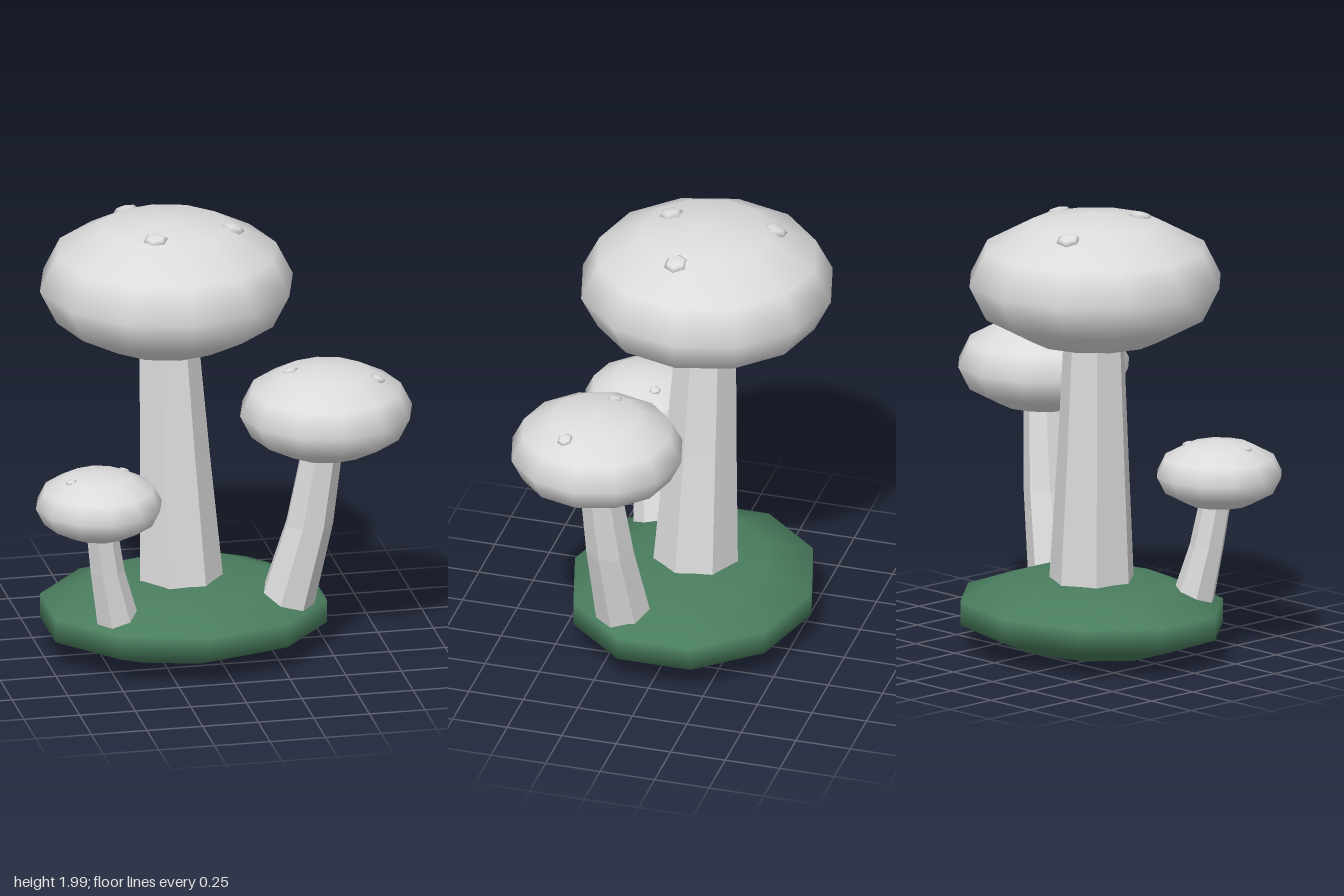
import * as THREE from 'three';

const SQUASH = 0.535; // cap height relative to its width

export function createModel() {
  const group = new THREE.Group();
  group.name = 'mushroomCluster';
  const paleGrey = new THREE.MeshStandardMaterial({ color: 0xdcdcdc });
  paleGrey.name = 'paleGrey';
  const mossGreen = new THREE.MeshStandardMaterial({ color: 0x4a7d5e });
  mossGreen.name = 'mossGreen';

  const add = (parent, name, geometry, material) => {
    const mesh = new THREE.Mesh(geometry, material);
    mesh.name = name;
    parent.add(mesh);
    return mesh;
  };

  // Faceted seven-sided stem through three rings [x, y, z, radius], bottom to top
  const stemGeometry = (rings) => {
    const g = new THREE.CylinderGeometry(1, 1, 1, 7, 2, false, Math.PI);
    const p = g.attributes.position;
    for (let i = 0; i < p.count; i++) {
      const [x, y, z, r] = rings[Math.round((p.getY(i) + 0.5) * 2)];
      p.setXYZ(i, x + p.getX(i) * r, y, z + p.getZ(i) * r);
    }
    const flat = g.toNonIndexed();
    flat.computeVertexNormals();
    return flat;
  };

  // Mossy mound
  const mound = add(group, 'mound',
    new THREE.SphereGeometry(1, 10, 5, Math.PI / 10), mossGreen);
  mound.scale.set(0.674, 0.173, 0.57);
  mound.position.set(-0.12, 0.178, -0.022);

  // cap: [x, y, z, radius]; spots: [x, z] on the cap
  const mushrooms = [
    {
      name: 'tallMushroom', cap: [-0.187, 1.695, -0.065, 0.569], spotSize: 0.055,
      rings: [[-0.13, 0.22, -0.028, 0.197], [-0.16, 0.9, -0.048, 0.161], [-0.184, 1.5, -0.066, 0.133]],
      spots: [[-0.31, -0.345], [0.1, -0.008], [-0.275, 0.125]],
    },
    {
      name: 'middleMushroom', cap: [0.465, 1.16, 0.247, 0.387], spotSize: 0.036,
      rings: [[0.265, 0.103, 0.155, 0.135], [0.395, 0.62, 0.205, 0.108], [0.465, 1.1, 0.245, 0.088]],
      spots: [[0.68, 0.33], [0.31, 0.21]],
    },
    {
      name: 'smallMushroom', cap: [-0.573, 0.824, 0.322, 0.283], spotSize: 0.026,
      rings: [[-0.455, 0.16, 0.245, 0.105], [-0.53, 0.5, 0.29, 0.078], [-0.568, 0.76, 0.32, 0.07]],
      spots: [[-0.705, 0.36], [-0.445, 0.25]],
    },
  ];

  const up = new THREE.Vector3(0, 1, 0);
  for (const { name, cap: [cx, cy, cz, r], spotSize, rings, spots } of mushrooms) {
    const mushroom = new THREE.Group();
    mushroom.name = name;
    group.add(mushroom);

    add(mushroom, 'stem', stemGeometry(rings), paleGrey);

    const cap = add(mushroom, 'cap', new THREE.SphereGeometry(1, 12, 6), paleGrey);
    cap.scale.set(r, r * SQUASH, r);
    cap.position.set(cx, cy, cz);

    // Flat bumps lying on the cap surface
    spots.forEach(([x, z], i) => {
      const dx = (x - cx) / r, dz = (z - cz) / r;
      const dy = Math.sqrt(1 - dx * dx - dz * dz);
      const spot = add(mushroom, `spot${i + 1}`, new THREE.SphereGeometry(1, 6, 4), paleGrey);
      spot.scale.set(spotSize, spotSize * 0.38, spotSize);
      spot.position.set(x, cy + dy * r * SQUASH * 0.97, z);
      spot.quaternion.setFromUnitVectors(up, new THREE.Vector3(dx, dy / SQUASH, dz).normalize());
    });
  }
  return group;
}
